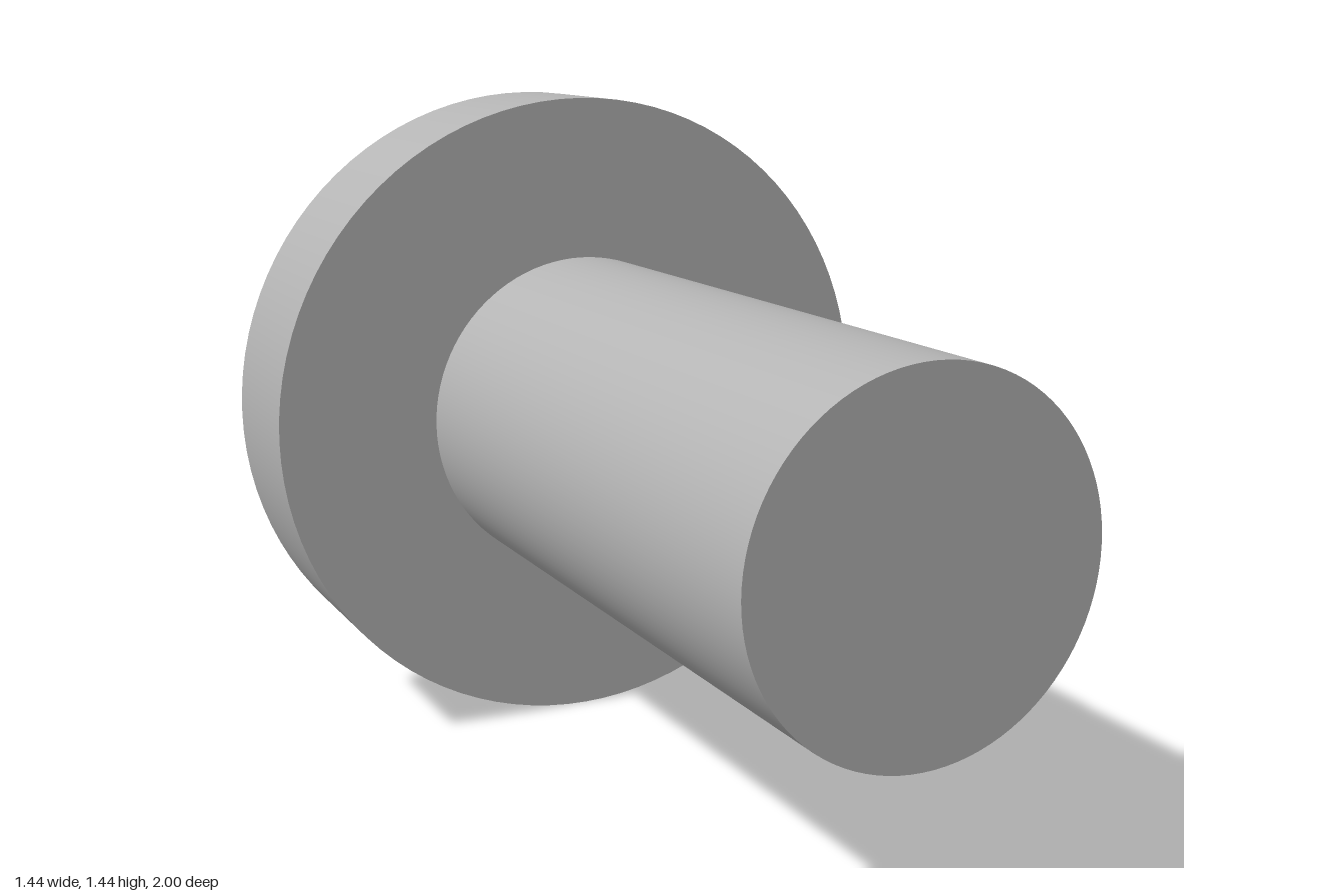
import * as THREE from 'three';

const R_HEAD = 0.72, R_SHAFT = 0.36, SEG = 96;
const Z_UNDER = 0.44, Z_RIM = 0.765, Z_TOP = 1.016; // distances towards the back
const ARM_HALF = 0.136, ARM_LEN = 0.328, FLOOR = 0.7, PEAK = 0.8; // cross recess
const TURN = THREE.MathUtils.degToRad(-17);

const rise = Z_TOP - Z_RIM;
const R_DOME = (R_HEAD * R_HEAD + rise * rise) / (2 * rise);
const domeZ = (r) => Z_TOP - R_DOME + Math.sqrt(R_DOME * R_DOME - r * r);

// Radius of the cross outline at an angle
function crossRadius(a) {
  const quarter = Math.PI / 2;
  const t = Math.abs(a - Math.round(a / quarter) * quarter);
  return t < 1e-6 ? ARM_LEN : Math.min(ARM_LEN / Math.cos(t), Math.max(ARM_HALF / Math.sin(t), ARM_HALF));
}

function domePoint(a, r) {
  return [r * Math.cos(a + TURN), r * Math.sin(a + TURN), domeZ(r)];
}

// Spherical cap with a cross-shaped opening
function domeGeometry() {
  const rings = 10, pos = [], nor = [], idx = [];
  for (let i = 0; i <= SEG; i++) {
    const a = (i / SEG) * Math.PI * 2, inner = crossRadius(a);
    for (let j = 0; j <= rings; j++) {
      const p = domePoint(a, inner + (R_HEAD - inner) * (j / rings));
      pos.push(...p);
      nor.push(p[0] / R_DOME, p[1] / R_DOME, (p[2] - Z_TOP + R_DOME) / R_DOME);
      if (i < SEG && j < rings) {
        const k = i * (rings + 1) + j, n = k + rings + 1;
        idx.push(k, k + 1, n + 1, k, n + 1, n);
      }
    }
  }
  const g = new THREE.BufferGeometry();
  g.setAttribute('position', new THREE.Float32BufferAttribute(pos, 3));
  g.setAttribute('normal', new THREE.Float32BufferAttribute(nor, 3));
  g.setIndex(idx);
  return g;
}

// Four arms: upright side walls, sloping ends and a low pyramid floor
function recessGeometry() {
  const pos = [], steps = SEG / 4;
  const tri = (a, b, c) => pos.push(...a, ...b, ...c);
  const corner = (a) => {
    const r = ARM_HALF * Math.SQRT2;
    return [r * Math.cos(a + TURN), r * Math.sin(a + TURN), FLOOR];
  };
  for (let arm = 0; arm < 4; arm++) {
    const mid = (arm * Math.PI) / 2, start = mid - Math.PI / 4;
    const low = corner(start), high = corner(mid + Math.PI / 4);
    const edge = (i) => {
      const a = start + (i / steps) * (Math.PI / 2);
      return domePoint(a, crossRadius(a));
    };
    for (let i = 0; i < steps; i++) tri(i < steps / 2 ? low : high, edge(i), edge(i + 1));
    tri(low, edge(steps / 2), high);
    tri(low, high, [0, 0, PEAK]);
  }
  const g = new THREE.BufferGeometry();
  g.setAttribute('position', new THREE.Float32BufferAttribute(pos, 3));
  g.computeVertexNormals();
  return g;
}

export function createModel() {
  const steel = new THREE.MeshStandardMaterial({ color: 0xb4b4b4 });
  steel.name = 'steel grey';
  const model = new THREE.Group();
  model.name = 'screw';

  const add = (parent, name, geometry) => {
    const mesh = new THREE.Mesh(geometry, steel);
    mesh.name = name;
    parent.add(mesh);
    return mesh;
  };

  // Shaft, running forward from under the head
  const length = 1 + Z_UNDER;
  const shaft = add(model, 'shaft', new THREE.CylinderGeometry(R_SHAFT, R_SHAFT, length, SEG).rotateX(Math.PI / 2));
  shaft.position.z = 1 - length / 2;

  // Head, built facing +z and turned to face the back
  const head = new THREE.Group();
  head.name = 'head';
  head.rotation.y = Math.PI;
  model.add(head);

  const side = new THREE.CylinderGeometry(R_HEAD, R_HEAD, Z_RIM - Z_UNDER, SEG, 1, true).rotateX(Math.PI / 2);
  add(head, 'headSide', side).position.z = (Z_RIM + Z_UNDER) / 2;
  const under = new THREE.RingGeometry(R_SHAFT - 0.01, R_HEAD, SEG).rotateY(Math.PI);
  add(head, 'headUnderside', under).position.z = Z_UNDER;
  add(head, 'headDome', domeGeometry());
  add(head, 'crossRecess', recessGeometry());

  model.position.y = R_HEAD;
  const root = new THREE.Group();
  root.name = 'model';
  root.add(model);
  return root;
}
